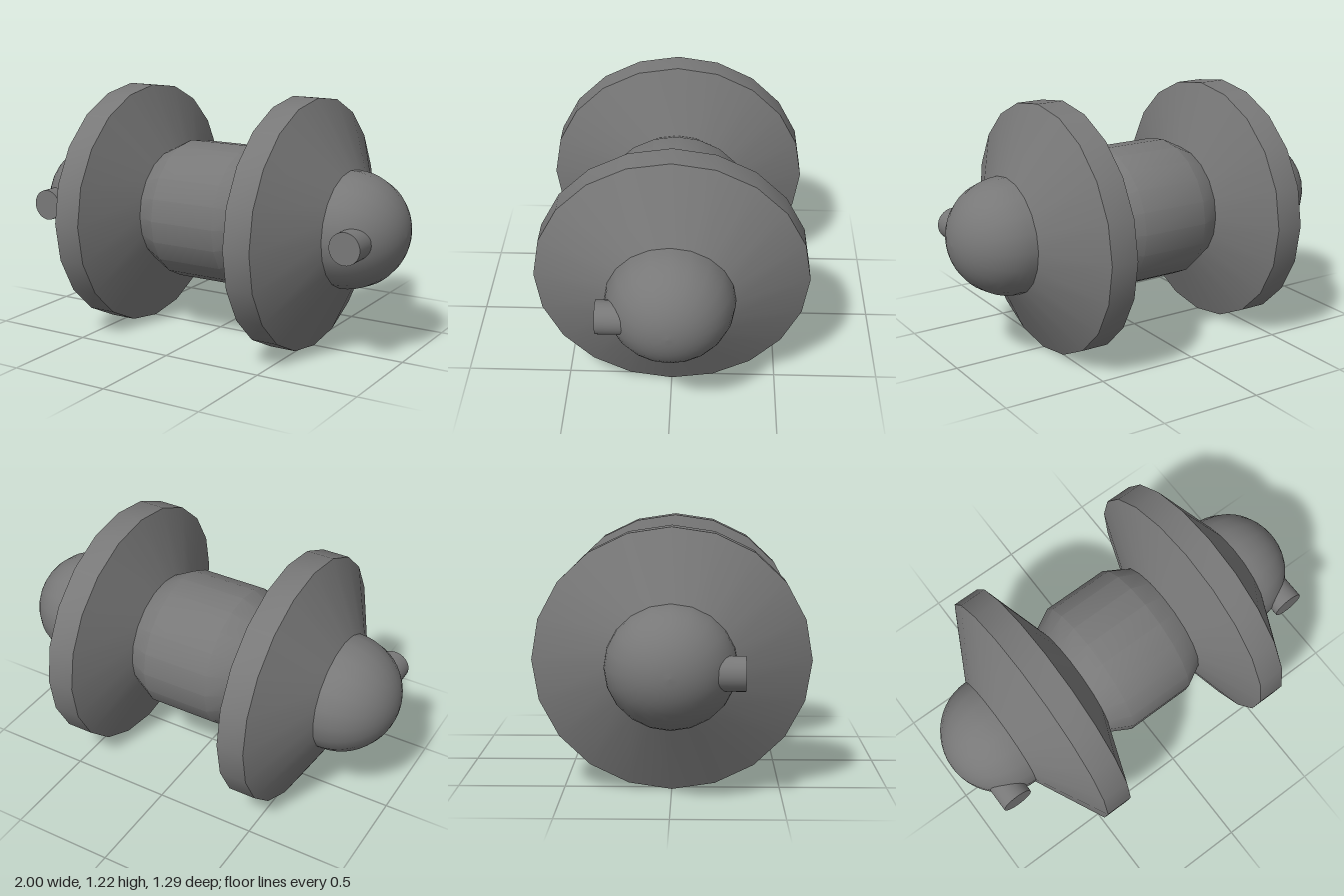
import * as THREE from 'three';
import { toCreasedNormals } from 'three/addons/utils/BufferGeometryUtils.js';

const AXIS_Y = 0.608;   // height of the long axis
const SQUASH = 0.945;   // cross-sections are slightly flattened in y
const SIDES = 20;
const CREASE = Math.PI / 6;

const material = new THREE.MeshStandardMaterial({ color: 0x787878 });

// Revolves [x, radius] points about the x axis
function turned(profile) {
  const points = profile.map(([x, r]) => new THREE.Vector2(r, x));
  const geometry = new THREE.LatheGeometry(points, SIDES);
  geometry.rotateZ(-Math.PI / 2);
  geometry.scale(1, SQUASH, 1);
  return geometry;
}

function addPart(parent, name, geometry) {
  const mesh = new THREE.Mesh(geometry, material);
  mesh.name = name;
  parent.add(mesh);
  return mesh;
}

export function createModel() {
  const group = new THREE.Group();
  group.name = 'spool';

  const body = new THREE.Group();
  body.name = 'body';
  body.position.y = AXIS_Y;
  group.add(body);

  // Central hub with softly shaded bevelled ends
  const hub = turned([[-0.275, 0.31], [-0.17, 0.366], [0.17, 0.366], [0.275, 0.31]]);
  addPart(body, 'hub', toCreasedNormals(hub, CREASE));

  // Double-coned flange
  const flange = toCreasedNormals(
    turned([[0.275, 0.31], [0.4, 0.643], [0.535, 0.643], [0.71, 0.298]]), CREASE);

  // Rounded end cap
  const domeProfile = [];
  for (let i = 0; i <= 12; i++) {
    const a = (i / 12) * Math.PI / 2;
    domeProfile.push([0.71 + 0.29 * Math.sin(a), i === 12 ? 0 : 0.298 * Math.cos(a)]);
  }
  const dome = turned(domeProfile);

  // Peg sticking out of the front of each cap
  const peg = new THREE.CylinderGeometry(0.077, 0.077, 0.25, 32);
  peg.rotateX(Math.PI / 2);

  for (const [label, side] of [['left', 1], ['right', -1]]) {
    const end = new THREE.Group();
    end.name = label + 'End';
    body.add(end);
    const turn = side > 0 ? 0 : Math.PI;
    addPart(end, label + 'Flange', flange).rotation.y = turn;
    addPart(end, label + 'Dome', dome).rotation.y = turn;
    addPart(end, label + 'Peg', peg).position.set(side * 0.84, -0.005, 0.203);
  }

  return group;
}
